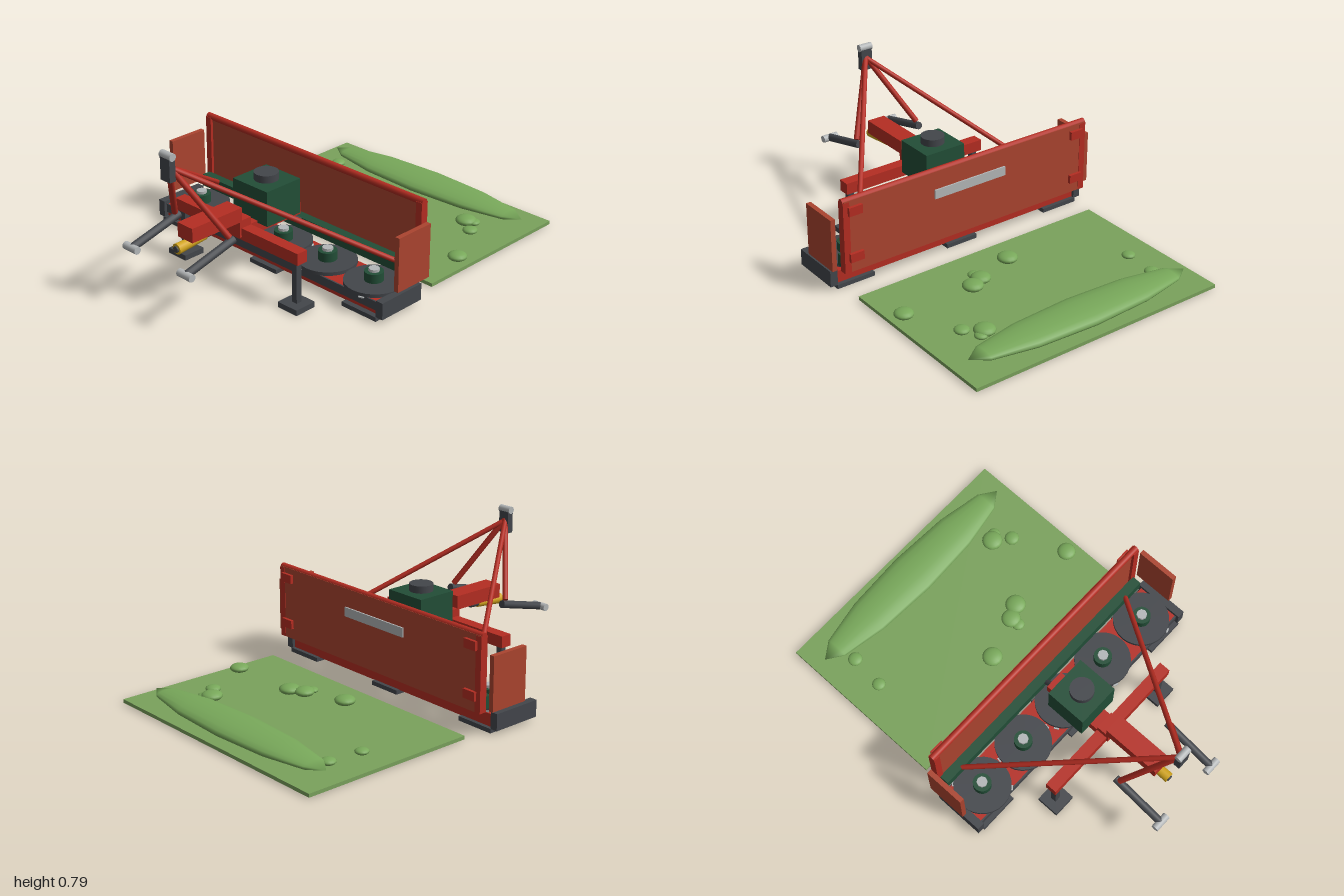
import * as THREE from 'three';

const mat = (name, color) => {
  const m = new THREE.MeshStandardMaterial({ color });
  m.name = name;
  return m;
};

export function createModel() {
  const model = new THREE.Group();
  model.name = 'discMower';
  const red = mat('frame red', 0xb52d22);
  const curtain = mat('curtain red', 0xab442f);
  const dark = mat('dark steel', 0x43464b);
  const green = mat('gearbox green', 0x224e37);
  const steel = mat('bare steel', 0xb4b7b8);
  const yellow = mat('guard yellow', 0xd2a51e);
  const grass = mat('grass green', 0x7aa25c);
  const crop = mat('cut crop green', 0x78a85a);

  const add = (name, geo, m, x = 0, y = 0, z = 0) => {
    const mesh = new THREE.Mesh(geo, m);
    mesh.name = name;
    mesh.position.set(x, y, z);
    model.add(mesh);
    return mesh;
  };
  // box from its lower and upper limits on each axis
  const box = (name, m, [x0, x1], [y0, y1], [z0, z1]) =>
    add(name, new THREE.BoxGeometry(x1 - x0, y1 - y0, z1 - z0), m, (x0 + x1) / 2, (y0 + y1) / 2, (z0 + z1) / 2);
  // the same box on one side: s is +1 or -1
  const sideBox = (name, m, s, [x0, x1], ys, zs) => box(name, m, s > 0 ? [x0, x1] : [-x1, -x0], ys, zs);
  const disc = (name, m, r, y0, y1, x, z, sides = 24) =>
    add(name, new THREE.CylinderGeometry(r, r, y1 - y0, sides), m, x, (y0 + y1) / 2, z);
  // round bar between two points
  const rod = (name, m, a, b, r, r2 = r, sides = 12) => {
    const p = new THREE.Vector3(...a), q = new THREE.Vector3(...b);
    const mesh = add(name, new THREE.CylinderGeometry(r2, r, p.distanceTo(q), sides), m);
    mesh.position.copy(p).lerp(q, 0.5);
    mesh.quaternion.setFromUnitVectors(new THREE.Vector3(0, 1, 0), q.sub(p).normalize());
    return mesh;
  };

  // Cutter bar and skids
  box('cutterBar', red, [-0.73, 0.73], [0.02, 0.085], [0.08, 0.307]);
  box('cutterBarFront', dark, [-0.725, 0.725], [0.043, 0.088], [0.307, 0.315]);
  box('centreSkid', dark, [-0.09, 0.09], [0, 0.022], [0.06, 0.335]);
  for (const s of [1, -1]) {
    sideBox('outerSkid', dark, s, [0.52, 0.73], [0, 0.022], [0.06, 0.335]);
    sideBox('endShoe', dark, s, [0.725, 0.765], [0.02, 0.105], [0.065, 0.33]);
  }

  // Cutting discs with hubs and blades
  for (let i = -2; i <= 2; i++) {
    const x = i * 0.295, z = 0.195;
    disc('cuttingDisc', dark, 0.143, 0.092, 0.11, x, z, 28);
    disc('discHub', green, 0.046, 0.11, 0.156, x, z, 20);
    disc('hubCap', steel, 0.027, 0.156, 0.17, x, z, 8);
    for (const s of [1, -1]) {
      const a = 0.5 + i * 0.7;
      const blade = add('blade', new THREE.BoxGeometry(0.05, 0.006, 0.025), steel,
        x + s * Math.cos(a) * 0.125, 0.09, z - s * Math.sin(a) * 0.125);
      blade.rotation.y = a;
    }
  }
  box('gearBeam', green, [-0.71, 0.71], [0.118, 0.18], [0.03, 0.08]);

  // Rear shield with frame, lugs and plate
  box('rearShield', curtain, [-0.72, 0.72], [0.112, 0.49], [-0.006, 0.018]);
  rod('topRail', red, [-0.725, 0.485, 0.012], [0.725, 0.485, 0.012], 0.017);
  box('rearPlate', steel, [-0.21, 0.21], [0.347, 0.395], [-0.014, -0.006]);
  for (const s of [1, -1]) {
    sideBox('shieldPost', red, s, [0.69, 0.725], [0.112, 0.485], [-0.008, 0.032]);
    for (const y of [0.415, 0.17])
      sideBox('shieldLug', red, s, [0.625, 0.7], [y, y + 0.045], [-0.022, -0.004]);
    sideBox('sideShield', curtain, s, [0.75, 0.775], [0.127, 0.4], [0.025, 0.238]);
  }

  // Gearbox and drive
  box('gearbox', green, [-0.114, 0.114], [0.287, 0.465], [0.195, 0.412]);
  disc('gearboxCap', dark, 0.06, 0.465, 0.502, 0, 0.305);
  rod('dropShaft', dark, [0, 0.15, 0.06], [0, 0.29, 0.25], 0.014);
  rod('driveShaft', dark, [0, 0.312, 0.65], [0, 0.3, 0.875], 0.016);
  rod('shaftGuard', yellow, [0, 0.31, 0.7], [0, 0.3, 0.868], 0.021, 0.027, 16);

  // Main frame
  box('upperBeam', red, [-0.05, 0.05], [0.328, 0.4], [0.51, 0.815]);
  box('lowerBeam', red, [-0.05, 0.05], [0.236, 0.298], [0.13, 0.5]);
  box('beamJoint', red, [-0.05, 0.05], [0.25, 0.335], [0.455, 0.525]);
  box('crossBar', red, [-0.415, 0.415], [0.235, 0.295], [0.455, 0.515]);

  // Hitch head
  box('hitchHead', dark, [-0.031, 0.031], [0.652, 0.765], [0.882, 0.916]);
  rod('topPin', steel, [-0.036, 0.772, 0.899], [0.036, 0.772, 0.899], 0.019, 0.019, 16);

  // Braces, lower arms and stands
  for (const s of [1, -1]) {
    rod('longBrace', red, [s * 0.605, 0.167, 0.07], [0, 0.715, 0.895], 0.013);
    rod('shortBrace', red, [s * 0.185, 0.37, 0.715], [0, 0.72, 0.893], 0.015);
    rod('lowerArm', dark, [s * 0.185, 0.352, 0.69], [s * 0.185, 0.28, 0.975], 0.02);
    rod('armPin', steel, [s * 0.143, 0.28, 0.977], [s * 0.228, 0.28, 0.977], 0.019, 0.019, 16);
    sideBox('standLeg', dark, s, [0.365, 0.396], [0.025, 0.29], [0.472, 0.502]);
    sideBox('standFoot', dark, s, [0.32, 0.44], [0, 0.028], [0.43, 0.548]);
  }

  // Meadow strip with swath and cut clumps
  box('meadow', grass, [-0.705, 0.705], [0.004, 0.022], [-1, -0.083]);
  const swath = new THREE.SphereGeometry(1, 16, 6);
  swath.rotateZ(Math.PI / 2);
  swath.scale(0.64, 0.037, 0.12);
  add('swath', swath, crop, 0, 0.06, -0.85);
  const clumps = [
    [-0.53, -0.747, 0.037], [-0.545, -0.565, 0.034], [0.42, -0.68, 0.053], [0.455, -0.7, 0.033],
    [0.5, -0.615, 0.038], [0.635, -0.353, 0.048], [0.165, -0.312, 0.05], [0.237, -0.347, 0.053],
    [0.168, -0.265, 0.033], [-0.052, -0.24, 0.052],
  ];
  for (const [x, z, r] of clumps)
    add('clump', new THREE.SphereGeometry(r, 16, 10), crop, x, 0.024 + r * 0.35, z).scale.y = 0.45;

  return model;
}
